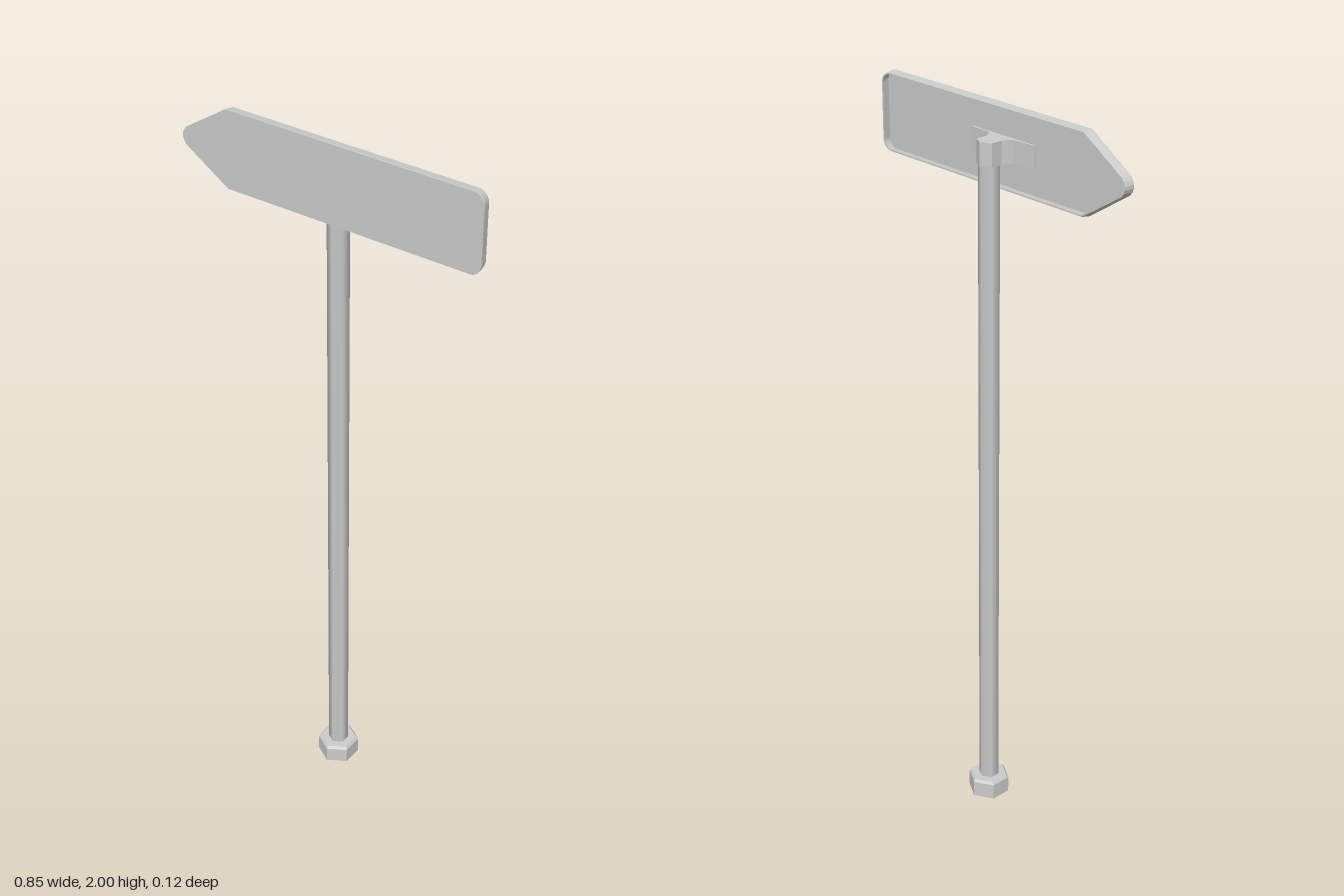
import * as THREE from 'three';

const material = new THREE.MeshStandardMaterial({ color: 0xcccccc });
const flat = new THREE.MeshStandardMaterial({ color: 0xcccccc, flatShading: true });
const SIGN_Y = 1.895, BACK = 0.027, FRONT = 0.053, SHEET = 0.004;

// Arrow board outline about its own centre, inset by t
function boardOutline(t, Type = THREE.Shape) {
  const s = new Type();
  const h = 0.105 - t, r = 0.43 - t, c = 0.03 - t, k = 0.29 - t * 0.55;
  s.moveTo(-k, -h);
  s.lineTo(r - c, -h);
  s.absarc(r - c, -h + c, c, -Math.PI / 2, 0, false);
  s.absarc(r - c, h - c, c, 0, Math.PI / 2, false);
  s.lineTo(-k, h);
  s.lineTo(-r + 0.016, 0.024);
  s.quadraticCurveTo(-r - 0.006, 0, -r + 0.016, -0.024);
  s.lineTo(-k, -h);
  return s;
}

function extrude(shape, depth) {
  return new THREE.ExtrudeGeometry(shape, { depth, bevelEnabled: false, curveSegments: 5 });
}

function add(group, name, geometry, mat = material) {
  const mesh = new THREE.Mesh(geometry, mat);
  mesh.name = name;
  group.add(mesh);
  return mesh;
}

export function createModel() {
  const model = new THREE.Group();
  model.name = 'arrowSignpost';

  // Six-sided foot with a slim chamfer
  const foot = [[0, 0], [0.058, 0], [0.058, 0.046], [0.052, 0.053], [0, 0.053]]
    .map(([x, y]) => new THREE.Vector2(x, y));
  add(model, 'foot', new THREE.LatheGeometry(foot, 6), flat);

  // Six-sided post
  const post = new THREE.CylinderGeometry(0.028, 0.028, 1.87, 6);
  add(model, 'post', post.translate(0, 0.985, 0));

  // Sheet-metal board: front plate and a backward flange that narrows slightly
  const board = new THREE.Group();
  board.name = 'board';
  board.position.y = SIGN_Y;
  model.add(board);
  add(board, 'frontPlate', extrude(boardOutline(0), SHEET).translate(0, 0, FRONT - SHEET));

  const rim = boardOutline(0);
  rim.holes.push(boardOutline(SHEET, THREE.Path));
  const depth = FRONT - SHEET - BACK;
  const flange = extrude(rim, depth);
  const p = flange.attributes.position;
  for (let i = 0; i < p.count; i++) {
    const f = 1 - p.getZ(i) / depth;
    p.setXY(i, p.getX(i) * (1 - 0.009 * f), p.getY(i) * (1 - 0.03 * f));
  }
  flange.computeVertexNormals();
  add(board, 'flange', flange.translate(0, 0, BACK));

  // Clamp strap: wraps behind the post, wings rest on the plate's back
  const half = [[0.11, 0.049], [0.11, 0.045], [0.04, 0.04], [0.027, 0.016], [0.027, -0.016]];
  const strap = [...half, [0, -0.031], ...half.map(([x, z]) => [-x, z]).reverse()];
  const clampShape = new THREE.Shape(strap.map(([x, z]) => new THREE.Vector2(x, -z)));
  const clamp = extrude(clampShape, 0.06).rotateX(-Math.PI / 2);
  add(model, 'clamp', clamp.translate(0, 1.86, 0));

  return model;
}
